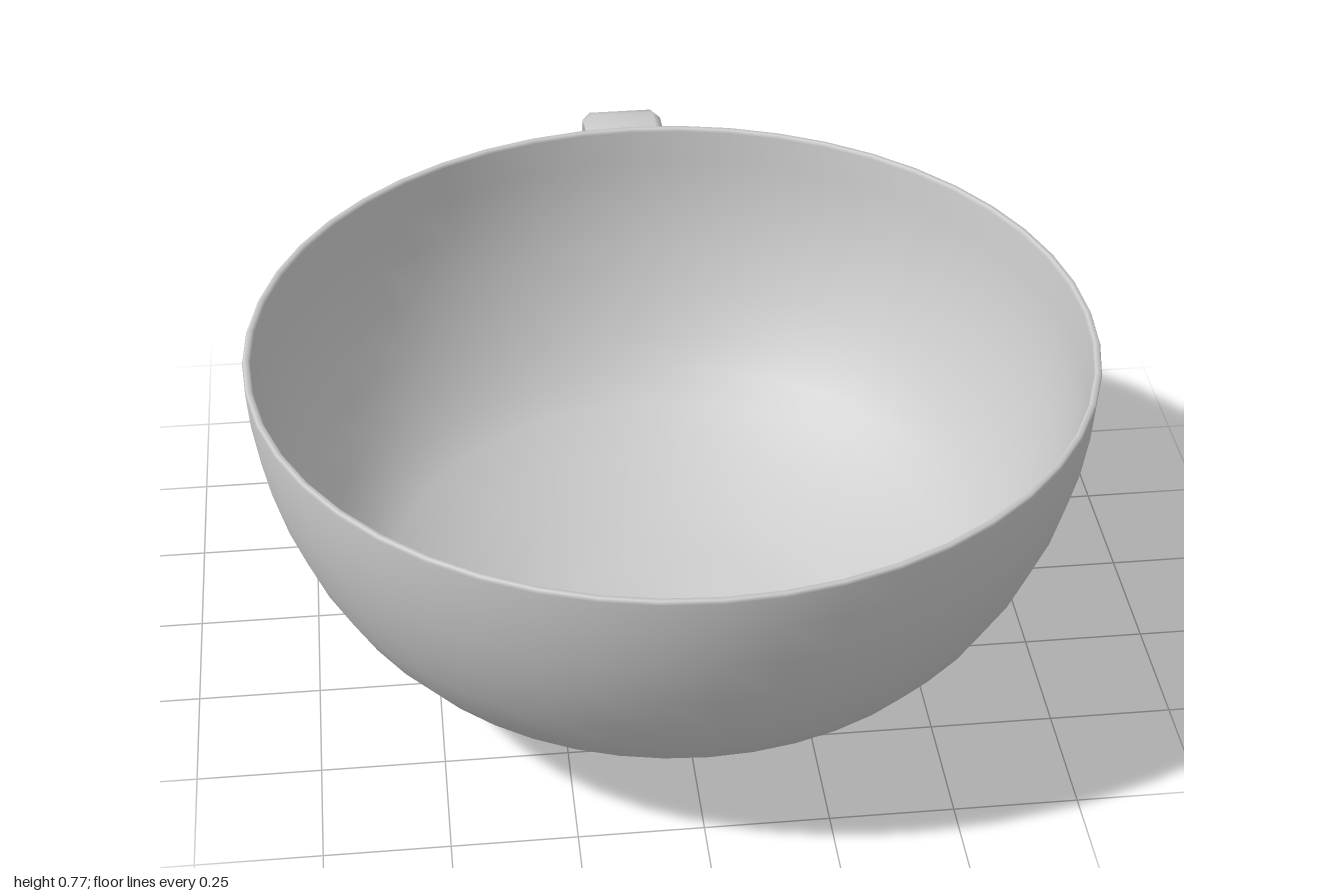
import * as THREE from 'three';

const material = new THREE.MeshStandardMaterial({ color: 0xcccccc });
const BOWL_Z = 0.15;

// Sweeps a closed section (x = across, y = thickness) along a path in the zy plane.
function sweepStrip(path, section) {
  const n = section.length;
  const positions = [];
  const index = [];
  path.forEach(([z, y], i) => {
    const a = path[Math.max(i - 1, 0)];
    const b = path[Math.min(i + 1, path.length - 1)];
    const tangent = new THREE.Vector2(b[0] - a[0], b[1] - a[1]).normalize();
    for (const [across, out] of section) {
      positions.push(across, y + tangent.x * out, z - tangent.y * out);
    }
  });
  for (let i = 0; i < path.length - 1; i++) {
    for (let j = 0; j < n; j++) {
      const a = i * n + j;
      const b = i * n + (j + 1) % n;
      index.push(a, b, a + n, b, b + n, a + n);
    }
  }
  // flat end caps with their own vertices
  [0, path.length - 1].forEach((ring, end) => {
    const base = positions.length / 3;
    positions.push(...positions.slice(ring * n * 3, (ring + 1) * n * 3));
    for (let j = 1; j < n - 1; j++) {
      if (end) index.push(base, base + j, base + j + 1);
      else index.push(base, base + j + 1, base + j);
    }
  });
  const geometry = new THREE.BufferGeometry();
  geometry.setAttribute('position', new THREE.Float32BufferAttribute(positions, 3));
  geometry.setIndex(index);
  geometry.computeVertexNormals();
  return geometry;
}

export function createModel() {
  const model = new THREE.Group();
  const add = (name, geometry) => {
    const mesh = new THREE.Mesh(geometry, material);
    mesh.name = name;
    model.add(mesh);
    return mesh;
  };

  // bowl: underside, foot ring, outer wall, rim, then the inner wall down to the floor
  const profile = [
    [0, 0.002], [0.1, 0.008], [0.165, 0.018], [0.18, 0.012], [0.2, 0.009], [0.22, 0.014],
    [0.232, 0.03], [0.36, 0.07], [0.49, 0.125], [0.6, 0.187], [0.66, 0.24], [0.715, 0.31],
    [0.765, 0.4], [0.805, 0.5], [0.832, 0.6], [0.845, 0.69], [0.85, 0.765],
    [0.847, 0.772], [0.838, 0.772], [0.834, 0.765],
    [0.828, 0.69], [0.815, 0.6], [0.788, 0.505], [0.748, 0.408], [0.698, 0.32],
    [0.645, 0.253], [0.588, 0.203], [0.48, 0.142], [0.35, 0.088], [0.22, 0.052], [0, 0.035],
  ].map(([r, y]) => new THREE.Vector2(r, y));
  add('bowl', new THREE.LatheGeometry(profile, 48)).position.z = BOWL_Z;

  // handle: flat strip with bevelled edges, curled over at the top
  const path = [
    [-0.26, 0.06], [-0.38, 0.08], [-0.485, 0.115], [-0.6, 0.21], [-0.715, 0.31], [-0.865, 0.4],
    [-0.93, 0.465], [-0.97, 0.525], [-0.968, 0.61], [-0.945, 0.648], [-0.9, 0.667],
    [-0.845, 0.671], [-0.79, 0.66], [-0.75, 0.63], [-0.73, 0.58], [-0.735, 0.535], [-0.755, 0.495],
  ];
  const section = [
    [-0.088, -0.008], [-0.07, -0.024], [0.07, -0.024], [0.088, -0.008],
    [0.088, 0.008], [0.07, 0.024], [-0.07, 0.024], [-0.088, 0.008],
  ];
  add('handle', sweepStrip(path, section));

  // small pad joining the curl to the bowl wall
  const joint = add('handleJoint', new THREE.BoxGeometry(0.13, 0.05, 0.06));
  joint.position.set(0, 0.592, -0.7);

  return model;
}
